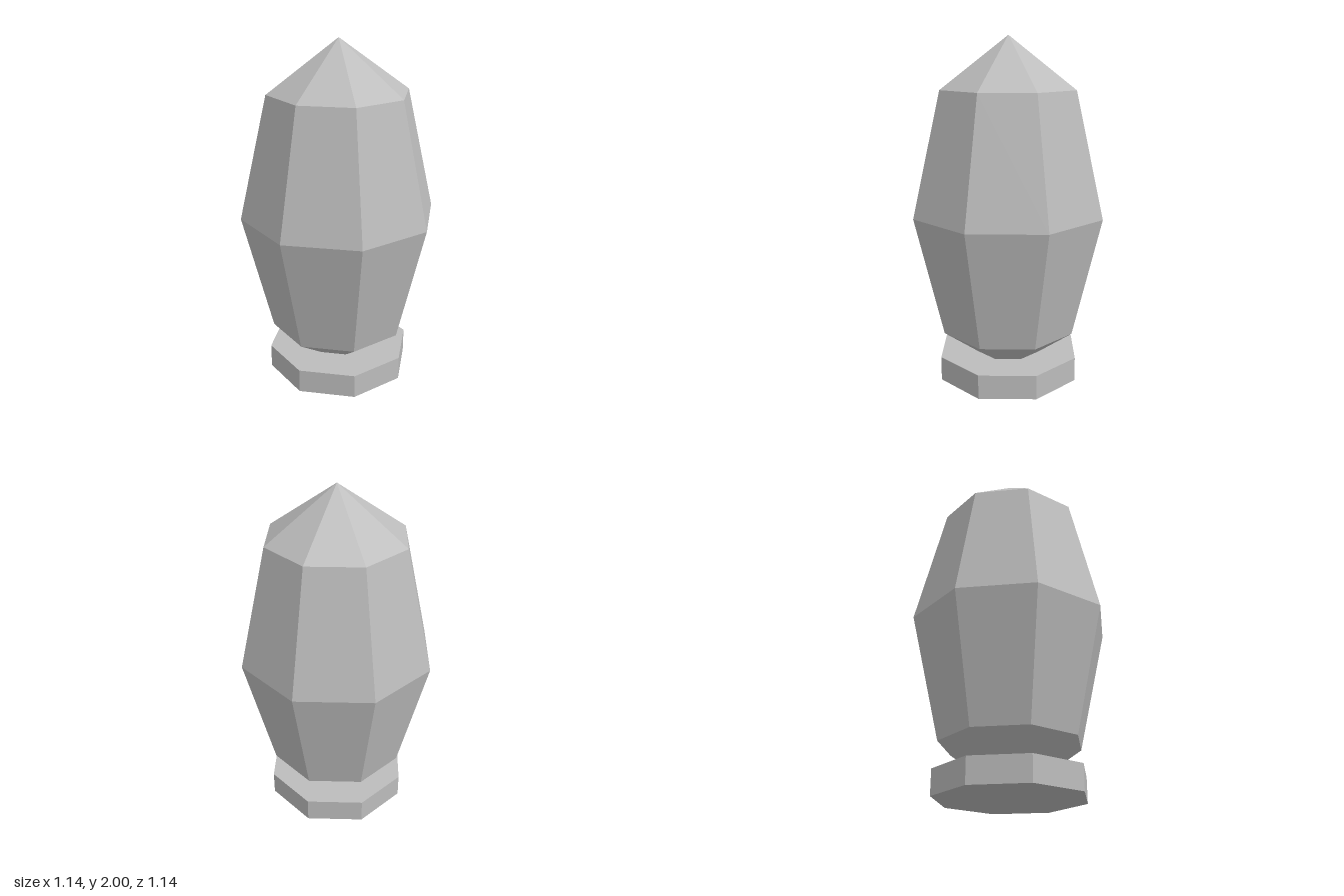
import * as THREE from 'three';

export function createModel() {
  const model = new THREE.Group();
  model.name = 'bulbOnBase';

  const grey = new THREE.MeshStandardMaterial({ color: 0xbcbcbc, flatShading: true });
  grey.name = 'grey';

  // Faceted bulb: an eight-sided sphere stretched upwards
  const bulbGeometry = new THREE.SphereGeometry(0.571, 8, 4);
  bulbGeometry.scale(1, 1 / 0.571, 1);
  const bulb = new THREE.Mesh(bulbGeometry, grey);
  bulb.name = 'bulb';
  bulb.position.y = 1;
  model.add(bulb);

  // Octagonal base disc around the bulb's lower tip
  const base = new THREE.Mesh(new THREE.CylinderGeometry(0.428, 0.428, 0.143, 8), grey);
  base.name = 'base';
  base.position.y = 0.0715;
  model.add(base);

  return model;
}
